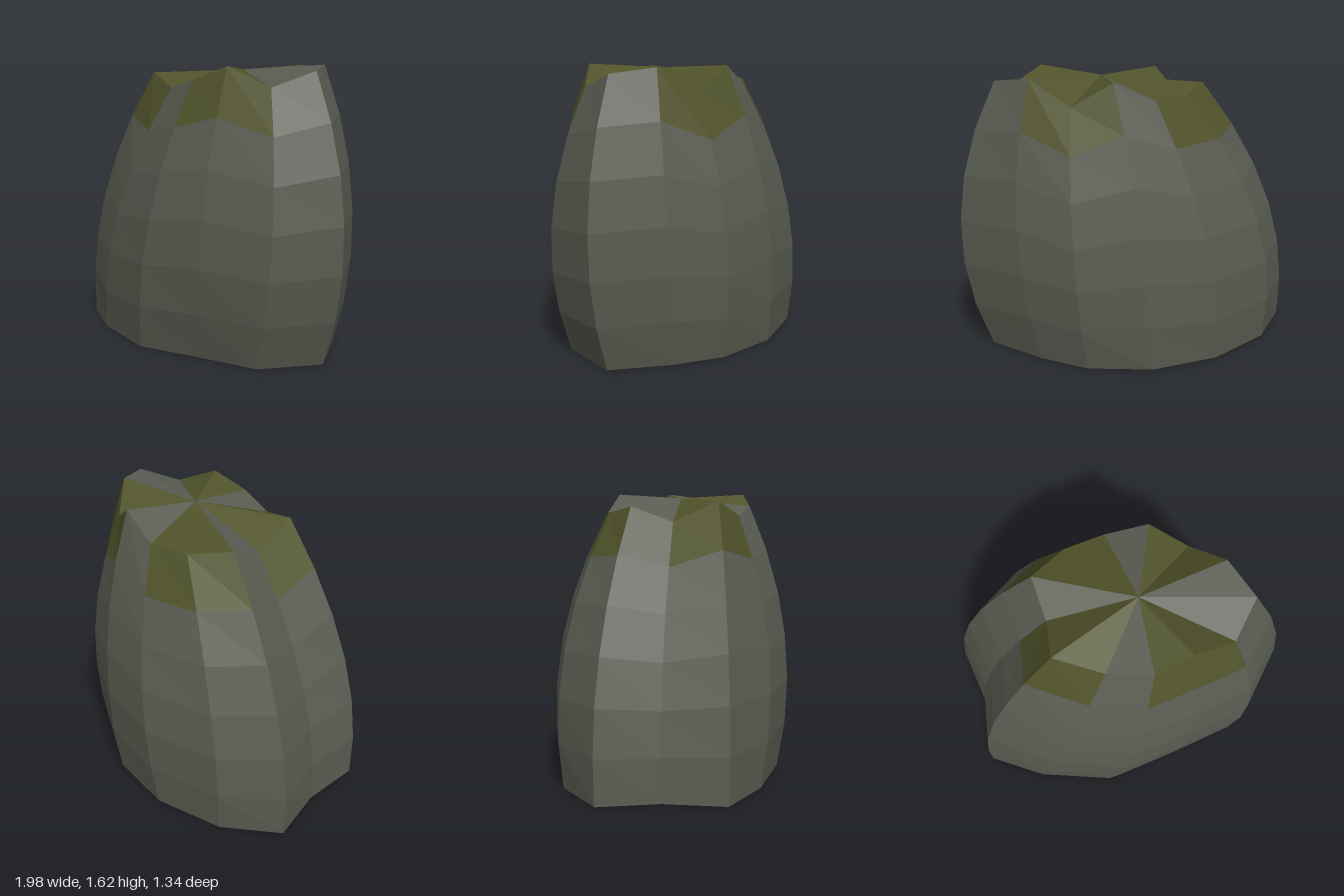
import * as THREE from 'three';

const LEVELS = 6;

// One column per rib, running round from +x towards +z:
// base x, z | half-height x, z | rim x, y, z
const COLUMNS = [
  [0.85, -0.01, 1.0, 0.0, 0.77, 1.585, 0.0],
  [0.69, 0.325, 0.83, 0.34, 0.66, 1.5, 0.215],
  [0.33, 0.48, 0.47, 0.53, 0.43, 1.61, 0.33],
  [0.0, 0.635, 0.14, 0.65, 0.23, 1.535, 0.41],
  [-0.45, 0.61, -0.27, 0.615, -0.02, 1.485, 0.39],
  [-0.79, 0.5, -0.69, 0.47, -0.3, 1.565, 0.33],
  [-0.84, 0.15, -0.73, 0.13, -0.34, 1.45, 0.08],
  [-0.975, -0.17, -0.875, -0.17, -0.42, 1.535, -0.14],
  [-0.73, -0.44, -0.66, -0.45, -0.25, 1.5, -0.32],
  [-0.35, -0.61, -0.25, -0.63, -0.03, 1.5, -0.41],
  [0.05, -0.63, 0.13, -0.64, 0.21, 1.61, -0.415],
  [0.4, -0.5, 0.48, -0.54, 0.43, 1.48, -0.35],
  [0.62, -0.3, 0.74, -0.32, 0.62, 1.615, -0.2],
];
const APEX = [0.15, 1.585, 0];

// Sectors (column i to i + 1) with moss on the crown
const MOSSY = new Set([1, 2, 4, 5, 7, 8, 10, 11]);

// Quadratic through the base, half-height and rim values
const bulge = (a, b, c, t) =>
  a * 2 * (t - 0.5) * (t - 1) + b * 4 * t * (1 - t) + c * 2 * t * (t - 0.5);

function point(column, level) {
  const [bx, bz, mx, mz, rx, ry, rz] = COLUMNS[column % COLUMNS.length];
  const t = level / LEVELS;
  return [bulge(bx, mx, rx, t), ry * t, bulge(bz, mz, rz, t)];
}

function facetedMesh(name, positions, material) {
  const geometry = new THREE.BufferGeometry();
  geometry.setAttribute('position', new THREE.Float32BufferAttribute(positions, 3));
  geometry.computeVertexNormals();
  const mesh = new THREE.Mesh(geometry, material);
  mesh.name = name;
  return mesh;
}

export function createModel() {
  // The shell is open underneath, so both sides show
  const stone = new THREE.MeshStandardMaterial({ color: 0x5a5d52, side: THREE.DoubleSide, flatShading: true });
  stone.name = 'grey stone';
  const moss = new THREE.MeshStandardMaterial({ color: 0x50532a, side: THREE.DoubleSide, flatShading: true });
  moss.name = 'olive moss';

  const sides = [], crown = [], mossPatches = [];
  for (let i = 0; i < COLUMNS.length; i++) {
    const mossy = MOSSY.has(i);

    // Side facets; the uppermost band is mossy in some sectors
    for (let k = 0; k < LEVELS; k++) {
      const a = point(i, k), b = point(i + 1, k);
      const c = point(i, k + 1), d = point(i + 1, k + 1);
      const target = mossy && k === LEVELS - 1 ? mossPatches : sides;
      target.push(...a, ...c, ...d, ...a, ...d, ...b);
    }

    // Crown wedge
    (mossy ? mossPatches : crown).push(...APEX, ...point(i + 1, LEVELS), ...point(i, LEVELS));
  }

  const group = new THREE.Group();
  group.name = 'mossyRock';
  group.add(
    facetedMesh('rockSides', sides, stone),
    facetedMesh('rockCrown', crown, stone),
    facetedMesh('mossPatches', mossPatches, moss),
  );
  return group;
}
